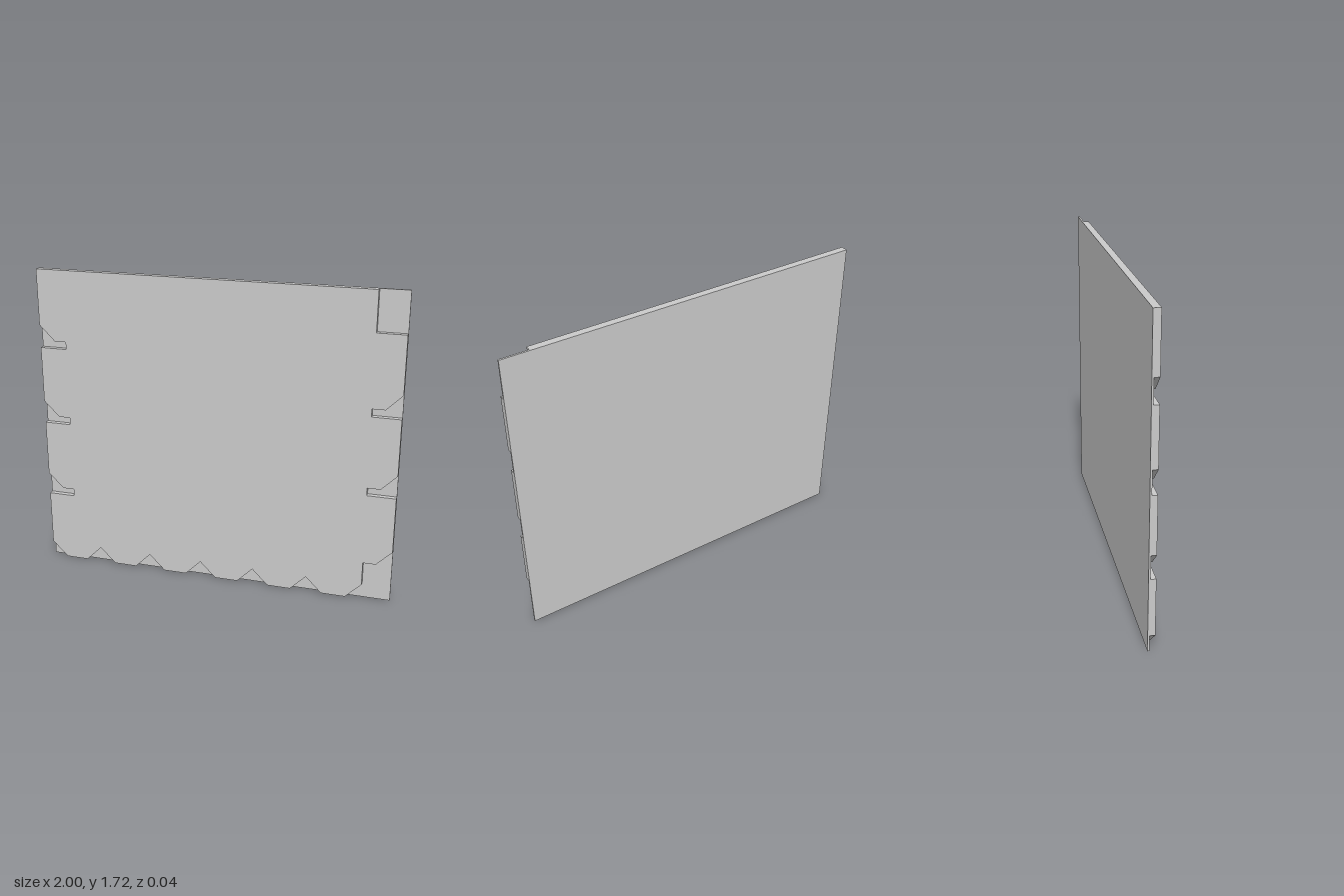
import * as THREE from 'three';

const HEIGHT = 1.72;
const BACK = -0.019, SPLIT = -0.009, FRONT = 0.019;

// Outline of the notched front layer, counter-clockwise from the lower left
function panelOutline() {
  const pts = [[-0.91, 0]];
  // V notches along the bottom edge
  for (let i = 0; i < 5; i++) {
    const x = -0.693 + i * 0.307;
    pts.push([x - 0.088, 0], [x, 0.088], [x + 0.088, 0]);
  }
  // lower right corner cut
  pts.push([0.757, 0], [0.845, 0.088], [0.845, 0.222], [0.915, 0.222], [1, 0.307]);
  // hooked notches on the right edge
  for (const y of [0.62, 1.06]) {
    pts.push([1, y], [0.845, y], [0.845, y + 0.043], [0.915, y + 0.043], [1, y + 0.128]);
  }
  // upper right corner cut
  pts.push([1, 1.502], [0.845, 1.502], [0.845, HEIGHT], [-1, HEIGHT]);
  // hooked notches on the left edge
  for (const y of [1.282, 0.842, 0.402]) {
    pts.push([-1, y + 0.128], [-0.913, y + 0.041], [-0.848, y + 0.041], [-0.848, y], [-1, y]);
  }
  pts.push([-1, 0.088]);
  return new THREE.Shape(pts.map(([x, y]) => new THREE.Vector2(x, y)));
}

export function createModel() {
  const model = new THREE.Group();
  model.name = 'notchedPanel';
  const material = new THREE.MeshStandardMaterial({ color: 0xcccccc, flatShading: true });

  // thin full-size backing sheet
  const backing = new THREE.Mesh(new THREE.BoxGeometry(2, HEIGHT, SPLIT - BACK), material);
  backing.position.set(0, HEIGHT / 2, (SPLIT + BACK) / 2);
  backing.name = 'backingSheet';

  // thicker front layer with notched edges
  const front = new THREE.Mesh(
    new THREE.ExtrudeGeometry(panelOutline(), { depth: FRONT - SPLIT, bevelEnabled: false }),
    material
  );
  front.position.z = SPLIT;
  front.name = 'notchedFrontLayer';

  model.add(backing, front);
  return model;
}
